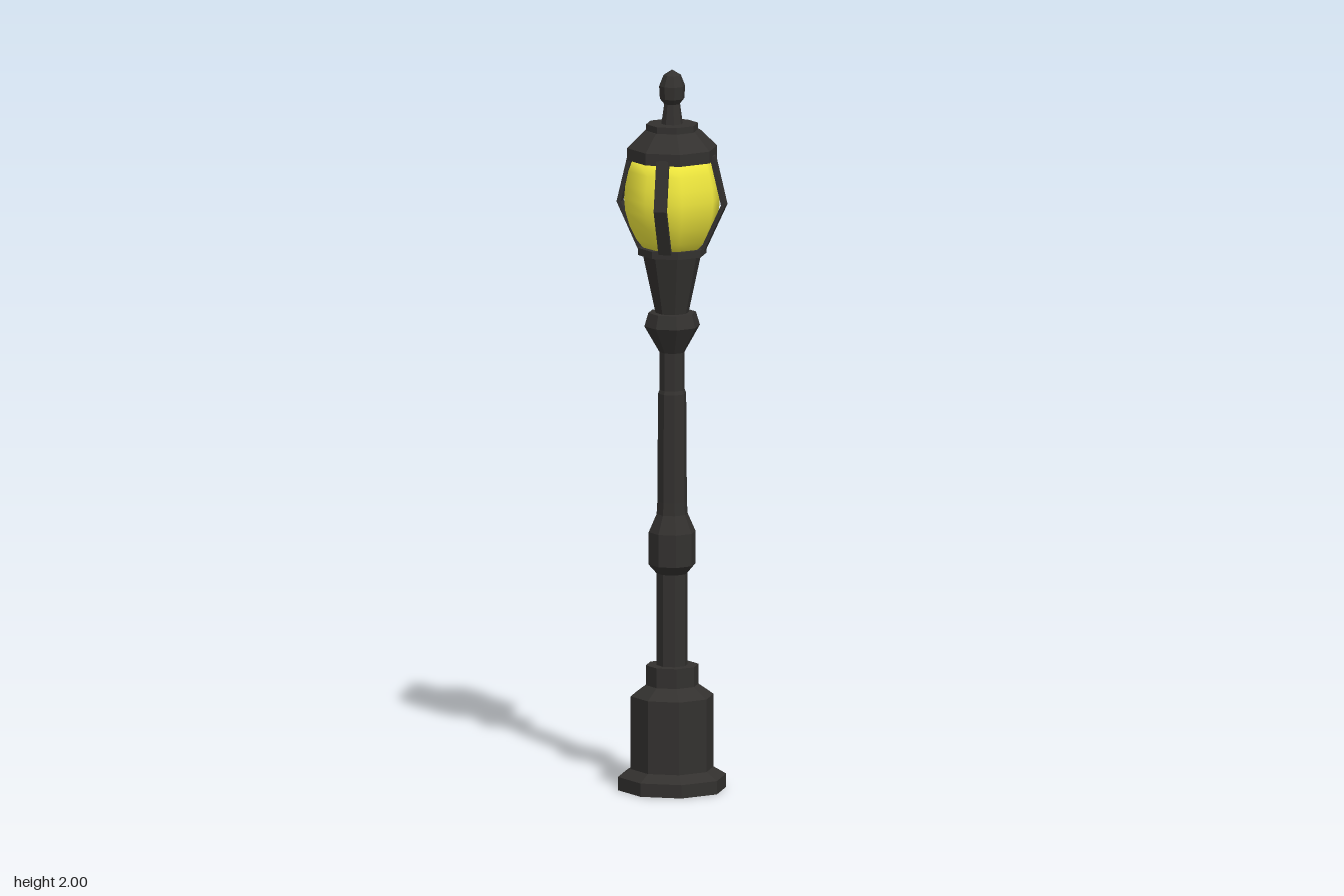
import * as THREE from 'three';

const iron = new THREE.MeshStandardMaterial({ color: 0x33312f, flatShading: true, side: THREE.DoubleSide });
const glass = new THREE.MeshStandardMaterial({ color: 0xf2ea3e, side: THREE.DoubleSide });

// Eight-sided turned part from [radius, height] pairs, listed bottom to top
function turned(name, profile, material = iron) {
  const points = profile.map(([r, y]) => new THREE.Vector2(r, y));
  const mesh = new THREE.Mesh(new THREE.LatheGeometry(points, 8), material);
  mesh.name = name;
  return mesh;
}

// Thin bent strap that bows out around the globe
function cageBar(width) {
  const t = 0.012;
  const outer = [[0.092, 1.5], [0.152, 1.63], [0.12, 1.765]];
  const inner = outer.map(([r, y]) => [r - t, y]).reverse();
  const shape = new THREE.Shape([...outer, ...inner].map(([r, y]) => new THREE.Vector2(r, y)));
  const geometry = new THREE.ExtrudeGeometry(shape, { depth: width, bevelEnabled: false });
  geometry.translate(0, 0, -width / 2);
  geometry.rotateY(-Math.PI / 2); // radial axis to +z
  return new THREE.Mesh(geometry, iron);
}

export function createModel() {
  const lamp = new THREE.Group();
  lamp.name = 'streetLamp';

  // Stepped foot and collar
  lamp.add(turned('base', [
    [0, 0], [0.15, 0], [0.15, 0.037], [0.115, 0.058], [0.115, 0.26],
    [0.073, 0.29], [0.073, 0.345], [0, 0.345],
  ]));

  // Slim pole with a swelling part-way up and a flared collar at the top
  lamp.add(turned('pole', [
    [0.043, 0.34], [0.043, 0.6], [0.065, 0.625], [0.065, 0.715], [0.043, 0.765],
    [0.041, 0.8], [0.039, 1.1], [0.035, 1.11], [0.035, 1.215],
    [0.077, 1.288], [0.066, 1.325], [0, 1.325],
  ]));

  // Tapered holder under the globe
  lamp.add(turned('lanternHolder', [
    [0.045, 1.32], [0.081, 1.487], [0.095, 1.487], [0.095, 1.507], [0, 1.507],
  ]));

  // Smooth glowing globe, slightly narrower across x
  const globe = turned('globe', [
    [0, 1.5], [0.08, 1.503], [0.102, 1.53], [0.122, 1.57], [0.134, 1.61],
    [0.137, 1.645], [0.134, 1.68], [0.125, 1.72], [0.11, 1.76], [0, 1.765],
  ], glass);
  globe.scale.x = 0.93;
  lamp.add(globe);

  // Four bars around the globe
  const cage = new THREE.Group();
  cage.name = 'cage';
  for (let i = 0; i < 4; i++) {
    const bar = cageBar(i === 0 ? 0.029 : 0.035);
    bar.name = 'cageBar' + (i + 1);
    bar.rotation.y = Math.PI / 8 + i * Math.PI / 2;
    cage.add(bar);
  }
  lamp.add(cage);

  // Roof
  lamp.add(turned('cap', [
    [0, 1.752], [0.125, 1.752], [0.125, 1.785], [0.077, 1.832],
    [0.072, 1.832], [0.072, 1.85], [0, 1.85],
  ]));

  // Acorn finial
  lamp.add(turned('finial', [
    [0.03, 1.848], [0.022, 1.905], [0.034, 1.92], [0.036, 1.955], [0.024, 1.985], [0, 2],
  ]));

  return lamp;
}
